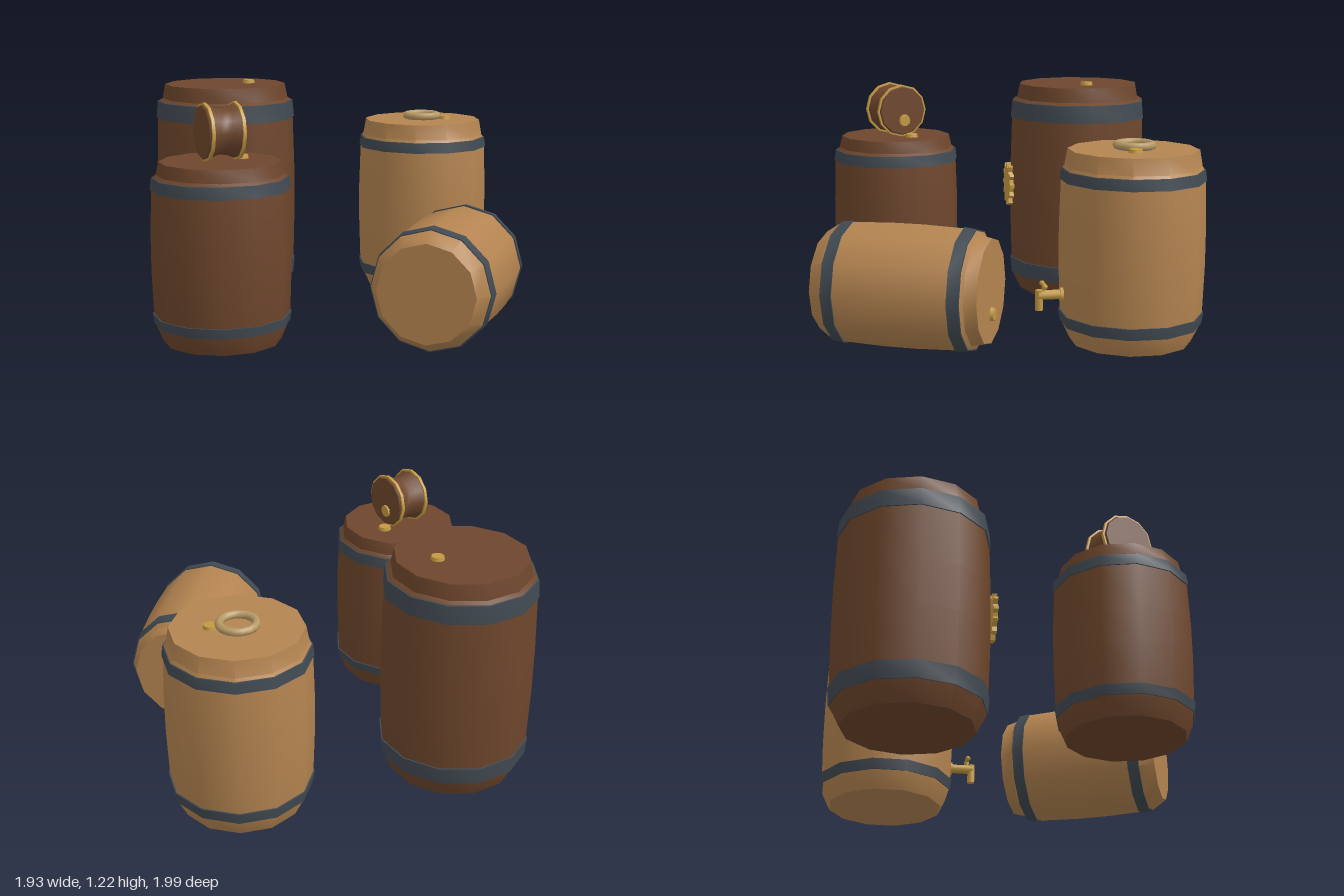
import * as THREE from 'three';
import { toCreasedNormals } from 'three/addons/utils/BufferGeometryUtils.js';

const SIDES = 12;

export function createModel() {
  const root = new THREE.Group();
  root.name = 'barrels';

  const material = (name, color) => {
    const m = new THREE.MeshStandardMaterial({ color });
    m.name = name;
    return m;
  };
  const darkWood = material('dark wood', 0x6e462c);
  const lightWood = material('light wood', 0xb48450);
  const iron = material('iron', 0x414a52);
  const brass = material('brass', 0xc49a42);
  const rope = material('rope', 0xb89a66);

  const add = (parent, name, geometry, mat, x = 0, y = 0, z = 0) => {
    const mesh = new THREE.Mesh(geometry, mat);
    mesh.name = name;
    mesh.position.set(x, y, z);
    parent.add(mesh);
    return mesh;
  };

  // Turned shape: smooth around, sharp at rims
  const turned = (profile) => toCreasedNormals(
    new THREE.LatheGeometry(profile.map(([r, y]) => new THREE.Vector2(r, y)), SIDES), 0.62);

  const addBung = (parent, x, y, z, r = 0.036, h = 0.018) =>
    add(parent, 'bung', toCreasedNormals(new THREE.CylinderGeometry(r * 0.9, r, h, 10), 0.7), brass, x, y + h / 2, z);

  // Barrel: staves with both heads, two hoops, bung on the upper head
  function addBarrel({ name, wood, height, radius, top, bottom, low, high, bung }) {
    const group = new THREE.Group();
    group.name = name;
    const end = radius - 0.01;
    add(group, 'staves', turned([
      [0, 0], [bottom, 0], [end - 0.006, low[0]], [end, low[1]],
      [radius - 0.002, height * 0.4], [radius - 0.002, height * 0.6],
      [end, high[0]], [end - 0.006, high[1]],
      [top + 0.015, high[1] + 0.015], [top, height], [0, height],
    ]), wood);
    for (const [i, [y0, y1]] of [low, high].entries()) {
      const outer = radius - 0.003;
      const lower = i ? outer : outer - 0.008;
      const upper = i ? outer - 0.008 : outer;
      add(group, i ? 'upperHoop' : 'lowerHoop', turned([
        [end - 0.02, y0], [lower, y0], [upper, y1], [end - 0.02, y1 + 0.004],
      ]), iron);
    }
    addBung(group, bung[0], height, bung[1]);
    root.add(group);
    return group;
  }

  // Tall dark barrel at the back
  const tall = addBarrel({
    name: 'tallBarrel', wood: darkWood, height: 1.205, radius: 0.395, top: 0.34, bottom: 0.33,
    low: [0.1, 0.19], high: [1.015, 1.11], bung: [0.135, -0.02],
  });
  tall.position.set(-0.574, 0, -0.602);

  // Short dark barrel at the front
  const short = addBarrel({
    name: 'shortBarrel', wood: darkWood, height: 0.92, radius: 0.355, top: 0.306, bottom: 0.3,
    low: [0.095, 0.145], high: [0.78, 0.84], bung: [0.11, -0.08],
  });
  short.position.set(-0.615, 0, 0.452);

  // Upright light barrel at the back
  const upright = addBarrel({
    name: 'uprightBarrel', wood: lightWood, height: 0.987, radius: 0.372, top: 0.33, bottom: 0.31,
    low: [0.095, 0.153], high: [0.832, 0.888], bung: [0.116, 0.055],
  });
  upright.position.set(0.569, 0, -0.632);
  upright.rotation.y = Math.PI / SIDES;

  // Light barrel lying on its side
  const lying = addBarrel({
    name: 'lyingBarrel', wood: lightWood, height: 0.857, radius: 0.318, top: 0.264, bottom: 0.252,
    low: [0.078, 0.138], high: [0.72, 0.78], bung: [0, -0.115],
  });
  lying.rotation.set(-Math.PI / 2, -0.433, 0, 'YXZ');
  lying.position.set(0.357, 0.32, 0.89);

  // Toothed brass plate on the front of the tall barrel
  const plate = new THREE.Shape();
  const teeth = 12;
  for (let i = 0; i < teeth; i++) {
    for (const [offset, r] of [[-0.3, 0.097], [-0.13, 0.125], [0.13, 0.125], [0.3, 0.097]]) {
      const a = ((i + offset) / teeth) * Math.PI * 2;
      if (i === 0 && offset === -0.3) plate.moveTo(r * Math.cos(a), r * Math.sin(a));
      else plate.lineTo(r * Math.cos(a), r * Math.sin(a));
    }
  }
  plate.closePath();
  add(root, 'toothedPlate',
    new THREE.ExtrudeGeometry(plate, { depth: 0.025, bevelEnabled: false }), brass, -0.574, 0.626, -0.211);

  // Small waisted keg lying on the short barrel
  const keg = new THREE.Group();
  keg.name = 'smallKeg';
  const half = 0.098;
  add(keg, 'kegBody', turned([
    [0, -half], [0.132, -half], [0.14, -0.085], [0.137, -0.07], [0.122, -0.035], [0.116, 0],
    [0.122, 0.035], [0.137, 0.07], [0.14, 0.085], [0.132, half], [0, half],
  ]), darkWood);
  for (const y of [-0.08, 0.08]) {
    add(keg, 'kegRing', turned([
      [0.125, y - 0.01], [0.147, y - 0.008], [0.147, y + 0.008], [0.125, y + 0.01],
    ]), brass);
  }
  addBung(keg, 0.055, half, -0.01, 0.035, 0.009);
  keg.rotation.set(0, 0.33, -Math.PI / 2, 'YXZ');
  keg.position.set(-0.613, 1.067, 0.45);
  root.add(keg);

  // Rope ring on the upright barrel
  const ring = add(root, 'ropeRing', new THREE.TorusGeometry(0.09, 0.021, 8, 16), rope, 0.567, 1.007, -0.637);
  ring.rotation.x = Math.PI / 2;

  // Tap on the upright barrel
  const tap = new THREE.Group();
  tap.name = 'tap';
  tap.position.set(0.569, 0.252, 0);
  const tube = (r, length) => new THREE.CylinderGeometry(r, r, length, 10);
  add(tap, 'tapPipe', tube(0.025, 0.14), brass, 0, 0, -0.22).rotation.x = Math.PI / 2;
  add(tap, 'tapFlange', tube(0.036, 0.015), brass, 0, 0, -0.27).rotation.x = Math.PI / 2;
  add(tap, 'tapSpout', tube(0.02, 0.105), brass, 0, -0.026, -0.156);
  add(tap, 'tapStem', tube(0.011, 0.06), brass, 0, 0.03, -0.178);
  add(tap, 'tapHandle', tube(0.011, 0.085), brass, 0, 0.052, -0.178).rotation.z = Math.PI / 2;
  for (const x of [-0.04, 0.04]) {
    add(tap, 'tapKnob', new THREE.SphereGeometry(0.014, 8, 6), brass, x, 0.052, -0.178);
  }
  root.add(tap);

  return root;
}
